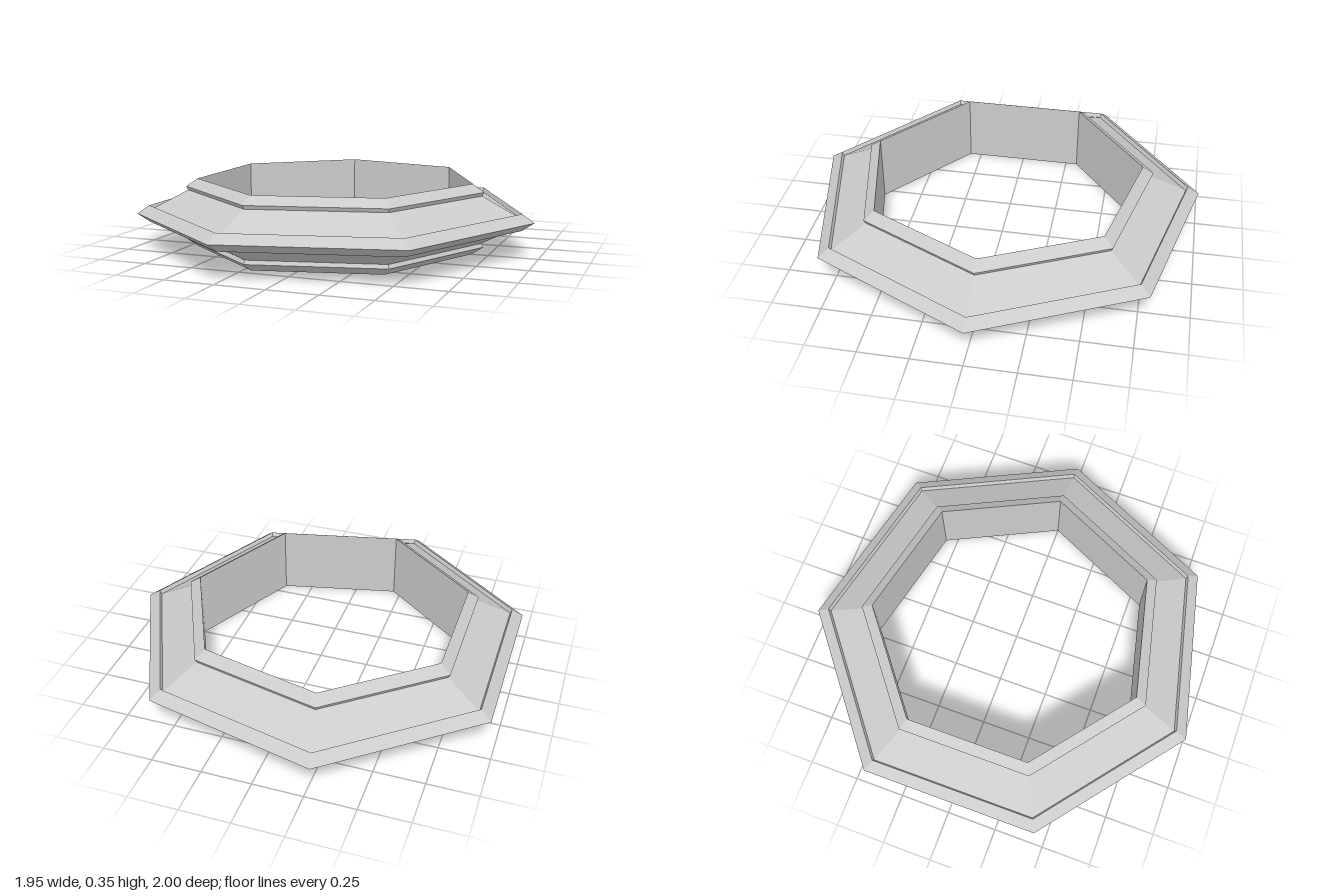
import * as THREE from 'three';

const SIDES = 7;
const RADIUS = 1.026; // corner radius of the outer rim
const MID = 0.1775;   // half height

export function createModel() {
  const group = new THREE.Group();
  group.name = 'heptagonalRing';
  const material = new THREE.MeshStandardMaterial({ color: 0xcccccc, flatShading: true });

  // Upper half of the section as [radius, height above the middle], from rim to bore
  const upper = [
    [0.965, 0.042],  // rim bevel
    [0.955, 0.021],  // groove inside the rim
    [0.765, 0.119],  // main slope
    [0.775, 0.138],  // undercut below the lip
    [0.717, MID],    // lip bevel
  ];
  const lower = upper.map(([r, h]) => [r, -h]).reverse();

  // Closed section: bottom lip, outer rim, top lip, then back down the bore
  const section = [...lower, [RADIUS, 0], ...upper, lower[0]]
    .map(([r, h]) => new THREE.Vector2(r, MID + h));

  // Seven-sided sweep with one corner on +x, centred by its bounds
  const geometry = new THREE.LatheGeometry(section, SIDES, Math.PI / 2);
  geometry.translate(-RADIUS * (1 - Math.cos(Math.PI / SIDES)) / 2, 0, 0);

  const ring = new THREE.Mesh(geometry, material);
  ring.name = 'ringBand';
  group.add(ring);
  return group;
}
